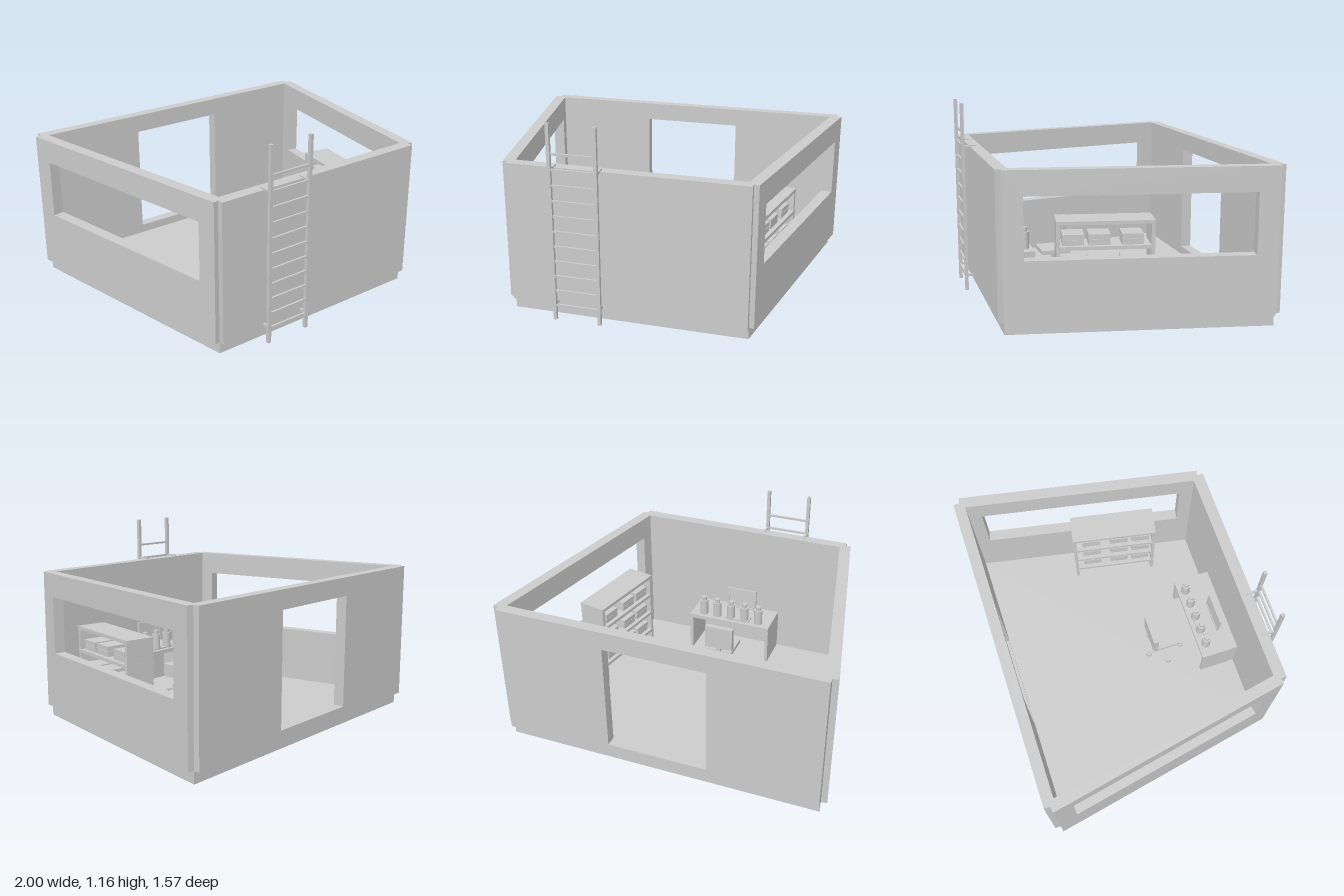
import * as THREE from 'three';

export function createModel() {
  const root = new THREE.Group();
  const grey = new THREE.MeshStandardMaterial({ color: 0xcbcbcb });
  grey.name = 'plain grey';

  const FLOOR = 0.07, WALL_TOP = 0.9;

  const add = (parent, name, geometry, x = 0, y = 0, z = 0) => {
    const mesh = new THREE.Mesh(geometry, grey);
    mesh.name = name;
    mesh.position.set(x, y, z);
    parent.add(mesh);
    return mesh;
  };
  // box given by its limits on each axis
  const block = (parent, name, x0, x1, y0, y1, z0, z1) =>
    add(parent, name, new THREE.BoxGeometry(x1 - x0, y1 - y0, z1 - z0),
      (x0 + x1) / 2, (y0 + y1) / 2, (z0 + z1) / 2);
  const cylinder = (parent, name, r, y0, y1, x, z, sides = 20) =>
    add(parent, name, new THREE.CylinderGeometry(r, r, y1 - y0, sides), x, (y0 + y1) / 2, z);
  const group = (name) => {
    const g = new THREE.Group();
    g.name = name;
    root.add(g);
    return g;
  };
  const rect = (Type, x0, x1, y0, y1) => new Type().setFromPoints([
    new THREE.Vector2(x0, y0), new THREE.Vector2(x1, y0),
    new THREE.Vector2(x1, y1), new THREE.Vector2(x0, y1)]).closePath();
  // wall panel with one rectangular opening
  const openPanel = (outer, opening, depth) => {
    const shape = rect(THREE.Shape, ...outer);
    shape.holes.push(rect(THREE.Path, ...opening));
    return new THREE.ExtrudeGeometry(shape, { depth, bevelEnabled: false });
  };

  // tapered floor slab; the walls are centred on its edge
  const plan = new THREE.Shape([[-0.69, -0.7], [0.69, -0.7], [0.965, 0.75], [-0.965, 0.75]]
    .map(([x, y]) => new THREE.Vector2(x, y)));
  const slab = new THREE.ExtrudeGeometry(plan, { depth: FLOOR, bevelEnabled: false });
  add(root, 'floorSlab', slab.rotateX(-Math.PI / 2));

  // front wall and back wall with doorway
  block(root, 'frontWall', -0.69, 0.69, FLOOR, WALL_TOP, 0.664, 0.733);
  add(root, 'backWall', openPanel([-0.965, 0.965, FLOOR, WALL_TOP],
    [-0.305, 0.305, 0.123, 0.79], 0.066), 0, 0, -0.785);

  // slanted side walls with long windows, ends and jambs square to the wall
  const outerX = (z) => 0.72 + 0.28 * (0.705 - z) / 1.447;
  for (const s of [1, -1]) {
    const span = (a, b) => [Math.min(-s * a, -s * b), Math.max(-s * a, -s * b)];
    const geo = openPanel([...span(0.705, -0.742), FLOOR, WALL_TOP],
      [...span(0.597, -0.628), 0.415, 0.76], 1);
    const p = geo.attributes.position;
    for (let i = 0; i < p.count; i++) {
      const z = -s * p.getX(i);
      const inward = 1 - p.getZ(i);
      p.setXYZ(i, s * (outerX(z) - 0.0665 * inward), p.getY(i), z - 0.013 * inward);
    }
    geo.computeVertexNormals();
    add(root, s > 0 ? 'leftWall' : 'rightWall', geo);
  }

  // ladder on the front wall
  const ladder = group('ladder');
  for (const x of [-0.412, -0.146]) {
    block(ladder, 'ladderRail', x - 0.01, x + 0.01, 0, 1.16, 0.765, 0.785);
    block(ladder, 'upperBracket', x - 0.007, x + 0.007, 0.892, 0.907, 0.695, 0.77);
    block(ladder, 'lowerBracket', x - 0.007, x + 0.007, 0.088, 0.103, 0.725, 0.77);
  }
  for (let i = 0; i < 11; i++) {
    const y = 0.09 + i * 0.09;
    block(ladder, 'rung', -0.41, -0.15, y - 0.006, y + 0.006, 0.769, 0.781);
  }

  // storage rack along the left wall
  const rack = group('storageRack');
  rack.position.set(0.67, 0, 0.136);
  rack.rotation.y = -0.19;
  for (const s of [1, -1]) {
    block(rack, 'rackEnd', -0.086, 0.086, FLOOR, 0.59, s * 0.256 - 0.01, s * 0.256 + 0.01);
  }
  for (let level = 0; level < 4; level++) {
    const y = 0.171 + level * 0.138;
    block(rack, 'rackBoard', -0.088, 0.088, y, y + 0.02, -0.267, 0.267);
    if (level === 3) continue;
    for (const z of [0.174, 0.032, -0.149]) {
      block(rack, 'storageBox', -0.063, 0.063, y + 0.02, y + 0.05, z - 0.058, z + 0.058);
      block(rack, 'storageBoxLid', -0.065, 0.065, y + 0.054, y + 0.08, z - 0.059, z + 0.059);
      block(rack, 'storageBoxSeam', -0.06, 0.06, y + 0.05, y + 0.054, z - 0.055, z + 0.055);
    }
  }

  // desk against the front wall
  const desk = group('desk');
  block(desk, 'deskTop', -0.277, 0.277, 0.308, 0.333, 0.43, 0.666);
  for (const x of [-0.277, 0.257]) {
    block(desk, 'deskSide', x, x + 0.02, FLOOR, 0.308, 0.435, 0.666);
  }
  block(desk, 'keyboard', -0.132, 0.043, 0.333, 0.342, 0.457, 0.525);
  for (let i = -2; i <= 2; i++) {
    cylinder(desk, 'bottle', 0.027, 0.333, 0.435, i * 0.096, 0.478);
    cylinder(desk, 'bottleCap', 0.017, 0.435, 0.462, i * 0.096, 0.478);
  }

  // tilted screen with a raised frame
  const screen = group('screen');
  screen.position.set(-0.042, 0.434, 0.582);
  screen.rotation.x = 0.06;
  block(screen, 'screenPanel', -0.1, 0.1, -0.07, 0.07, -0.003, 0.006);
  for (const s of [1, -1]) {
    block(screen, 'screenFrameSide', s * 0.095 - 0.005, s * 0.095 + 0.005, -0.07, 0.07, -0.008, -0.003);
    block(screen, 'screenFrameEdge', -0.09, 0.09, s * 0.065 - 0.005, s * 0.065 + 0.005, -0.008, -0.003);
  }
  block(screen, 'screenStand', -0.015, 0.015, -0.101, -0.06, -0.003, 0.006);

  // swivel chair with a five-armed base
  const chair = group('chair');
  chair.position.set(-0.028, 0, 0.255);
  block(chair, 'chairSeat', -0.087, 0.095, 0.245, 0.27, -0.09, 0.088);
  block(chair, 'chairBack', -0.095, 0.09, 0.295, 0.447, -0.105, -0.072);
  block(chair, 'chairBackSupport', -0.015, 0.015, 0.25, 0.3, -0.1, -0.08);
  cylinder(chair, 'chairPost', 0.012, 0.1, 0.245, 0, 0);
  for (let i = 0; i < 5; i++) {
    const a = Math.PI + i * Math.PI * 0.4;
    const x = Math.cos(a), z = Math.sin(a);
    const arm = add(chair, 'chairBaseArm', new THREE.BoxGeometry(0.115, 0.012, 0.018),
      x * 0.0575, 0.105, z * 0.0575);
    arm.rotation.y = -a;
    cylinder(chair, 'caster', 0.02, FLOOR, 0.1, x * 0.115, z * 0.115, 16);
  }

  return root;
}
